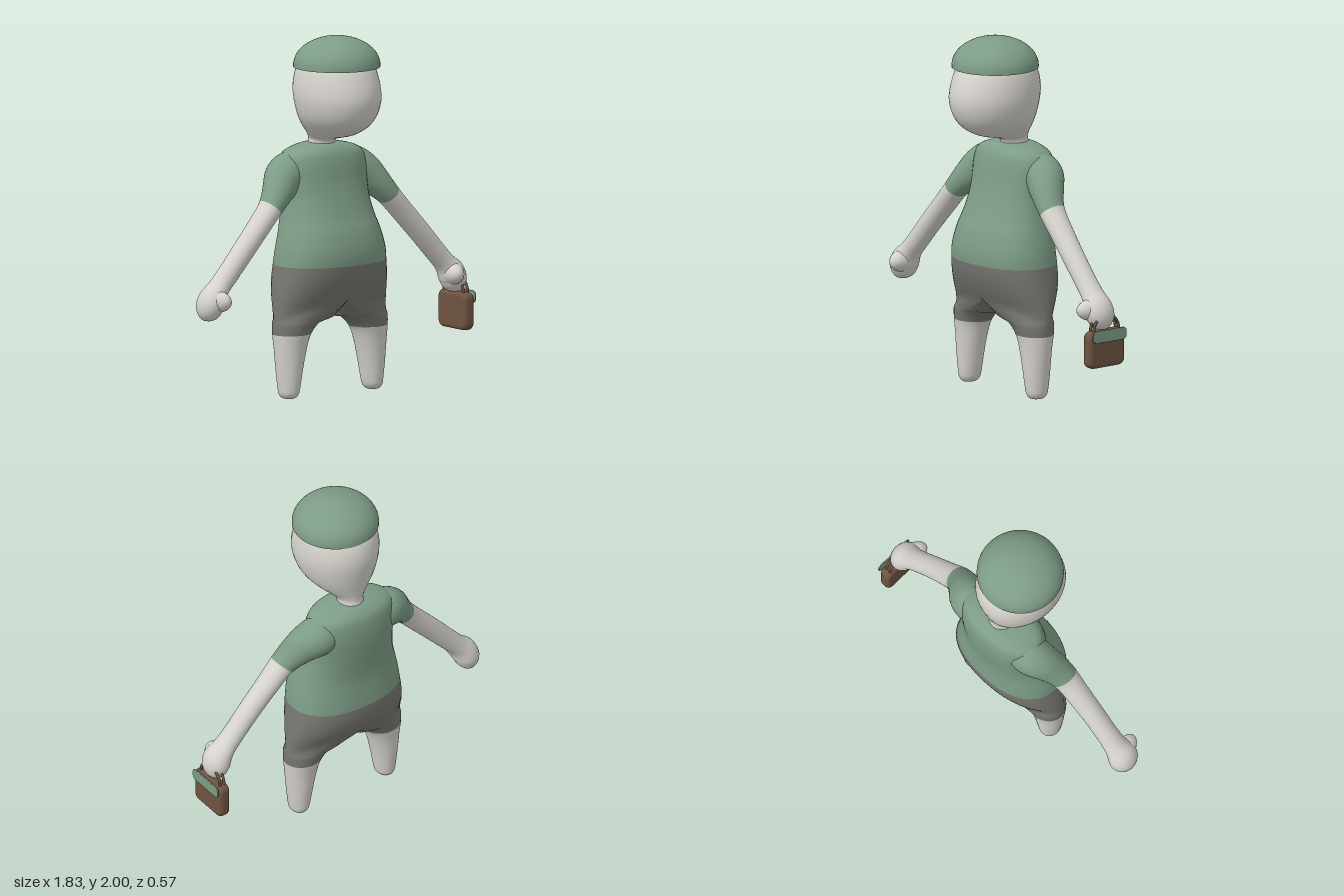
import * as THREE from 'three';
import { mergeVertices } from 'three/addons/utils/BufferGeometryUtils.js';

const SEG = 40;
const material = (name, color) => {
  const m = new THREE.MeshStandardMaterial({ color });
  m.name = name;
  return m;
};

// Subdivide rows of numbers with a Catmull-Rom spline, keeping the given rows
function refine(rows, k) {
  const out = [];
  for (let i = 0; i < rows.length - 1; i++) {
    const [a, b, c, d] = [rows[Math.max(i - 1, 0)], rows[i], rows[i + 1], rows[Math.min(i + 2, rows.length - 1)]];
    for (let s = 0; s < k; s++) {
      const t = s / k;
      out.push(b.map((v, n) => v + 0.5 * t * (c[n] - a[n] + t * (2 * a[n] - 5 * v + 4 * c[n] - d[n] + t * (3 * (v - c[n]) + d[n] - a[n])))));
    }
  }
  out.push(rows[rows.length - 1]);
  return out;
}

// Skin rings of points, top to bottom; bands are the last ring of each colour; sides mirror in x
function loft(rings, bands, sides = [1]) {
  const pos = [], index = [], groups = [];
  const n = rings[0].length;
  for (const s of sides) for (const ring of rings) for (const p of ring) pos.push(p[0] * s, p[1], p[2]);
  const tri = (a, b, c) => {
    if ([a, b, c].every((i) => Math.abs(pos[i * 3]) < 1e-4)) return; // inner wall on the centre plane
    index.push(a, b, c);
  };
  let from = 0;
  bands.forEach((to, g) => {
    const start = index.length;
    sides.forEach((s, k) => {
      const base = k * rings.length * n;
      for (let i = from; i < to; i++) for (let j = 0; j < n; j++) {
        const a = base + i * n + j, b = base + i * n + (j + 1) % n, c = a + n, d = b + n;
        if (s > 0) { tri(a, b, c); tri(b, d, c); } else { tri(a, c, b); tri(b, c, d); }
      }
    });
    groups.push([start, index.length - start, g]);
    from = to;
  });
  let geo = new THREE.BufferGeometry();
  geo.setAttribute('position', new THREE.Float32BufferAttribute(pos, 3));
  geo.setIndex(index);
  geo = mergeVertices(geo, 1e-4);
  geo.clearGroups();
  groups.forEach((g) => geo.addGroup(...g));
  geo.computeVertexNormals();
  return geo;
}

const ringOf = (f) => Array.from({ length: SEG }, (_, j) => f((j / SEG) * Math.PI * 2));
const soft = (v) => Math.sign(v) * Math.pow(Math.abs(v), 0.88);

// Rows: y, inner x, outer x, front z, back z. Half torso blends into a round leg.
function bodyGeometry() {
  const rows = [
    [1.395, 0, 0.07, -0.05, -0.2], [1.388, 0, 0.12, -0.02, -0.225], [1.373, 0, 0.19, 0.0, -0.245],
    [1.34, 0, 0.25, 0.025, -0.27], [1.27, 0, 0.27, 0.045, -0.283], [1.19, 0, 0.268, 0.06, -0.285],
    [1.1, 0, 0.265, 0.085, -0.28], [1.0, 0, 0.28, 0.12, -0.27], [0.92, 0, 0.302, 0.155, -0.267],
    [0.82, 0, 0.327, 0.18, -0.274], [0.74, 0, 0.338, 0.18, -0.28], [0.66, 0, 0.351, 0.165, -0.275],
    [0.58, 0, 0.362, 0.135, -0.25], [0.51, 0, 0.37, 0.1, -0.21], [0.445, 0, 0.376, 0.075, -0.175],
    [0.42, 0.09, 0.377, 0.066, -0.162], [0.36, 0.152, 0.377, 0.053, -0.147], [0.28, 0.182, 0.37, 0.042, -0.132],
    [0.17, 0.208, 0.36, 0.034, -0.122], [0.06, 0.228, 0.348, 0.024, -0.11], [0.025, 0.238, 0.341, 0.016, -0.102],
    [0.005, 0.258, 0.322, -0.004, -0.082], [0, 0.29, 0.29, -0.043, -0.043],
  ];
  const rings = refine(rows, 3).map(([y, xi, xo, zf, zb]) => {
    const xin = y >= 0.445 ? 0 : Math.max(0, xi), cx = (xin + xo) / 2, rx = (xo - xin) / 2;
    const cz = (zf + zb) / 2, rz = (zf - zb) / 2;
    return ringOf((t) => {
      const c = Math.cos(t) > 1e-6 ? xo * soft(Math.cos(t)) : 0;
      // The crotch arches higher towards the front and back
      const s = 1 - THREE.MathUtils.smoothstep(y, 0.422, 0.446 + 0.1 * Math.sin(t) ** 2);
      const z = 1 - THREE.MathUtils.smoothstep(y, 0.422, 0.6);
      return [THREE.MathUtils.lerp(c, cx + rx * Math.cos(t), s), Math.max(0, y),
        cz + rz * THREE.MathUtils.lerp(soft(Math.sin(t)), Math.sin(t), z)];
    });
  });
  return loft(rings, [30, 48, 66], [1, -1]);
}

function headGeometry() {
  // y, half width, front z, back z
  const rows = [
    [1.94, 0, 0.01, 0.01], [1.9, 0.16, 0.16, -0.15], [1.84, 0.205, 0.225, -0.213], [1.78, 0.222, 0.257, -0.24],
    [1.71, 0.23, 0.28, -0.25], [1.64, 0.226, 0.285, -0.243], [1.56, 0.203, 0.26, -0.227], [1.5, 0.165, 0.21, -0.212],
    [1.455, 0.116, 0.125, -0.203], [1.43, 0.085, 0.02, -0.2], [1.41, 0.072, -0.04, -0.2], [1.36, 0.078, -0.04, -0.21],
  ];
  const rings = refine(rows, 3).map(([y, rx, zf, zb]) =>
    ringOf((t) => [rx * Math.cos(t), y, (zf + zb) / 2 + ((zf - zb) / 2) * Math.sin(t)]));
  return loft(rings, [rings.length - 1]);
}

function armGeometry(side) {
  // Centre x, y, z, then radius across the arm and radius in z
  const rows = refine([
    [0.12, 1.27, -0.135, 0.07, 0.08], [0.2, 1.25, -0.138, 0.11, 0.112], [0.275, 1.207, -0.121, 0.108, 0.113],
    [0.34, 1.145, -0.085, 0.085, 0.096], [0.409, 1.071, -0.054, 0.064, 0.077], [0.5, 0.97, -0.046, 0.061, 0.068],
    [0.615, 0.845, -0.04, 0.06, 0.063], [0.72, 0.728, -0.038, 0.058, 0.062], [0.785, 0.658, -0.037, 0.058, 0.068],
    [0.822, 0.612, -0.033, 0.072, 0.083], [0.842, 0.565, -0.034, 0.073, 0.085], [0.842, 0.522, -0.036, 0.06, 0.067],
    [0.838, 0.497, -0.038, 0.036, 0.042], [0.836, 0.488, -0.038, 0, 0],
  ], 3);
  const rings = rows.map(([x, y, z, ru, rz], i) => {
    const a = rows[Math.max(i - 1, 0)], b = rows[Math.min(i + 1, rows.length - 1)];
    const l = Math.hypot(b[0] - a[0], b[1] - a[1]);
    const ux = -(b[1] - a[1]) / l, uy = (b[0] - a[0]) / l;
    return ringOf((t) => [x + ux * ru * Math.cos(t), y + uy * ru * Math.cos(t), z + rz * Math.sin(t)]);
  });
  return loft(rings, [12, rings.length - 1], [side]);
}

// Rounded rectangle facing x, with bevelled rims
function roundedPanel(width, height, thick, radius, bevel) {
  const w = width / 2 - bevel, h = height / 2 - bevel, r = radius - bevel;
  const shape = new THREE.Shape();
  shape.absarc(w - r, h - r, r, 0, Math.PI / 2);
  shape.absarc(r - w, h - r, r, Math.PI / 2, Math.PI);
  shape.absarc(r - w, r - h, r, Math.PI, Math.PI * 1.5);
  shape.absarc(w - r, r - h, r, Math.PI * 1.5, Math.PI * 2);
  const geo = new THREE.ExtrudeGeometry(shape, {
    depth: thick - 2 * bevel, bevelThickness: bevel, bevelSize: bevel, bevelSegments: 4, curveSegments: 6,
  });
  return geo.center().rotateY(Math.PI / 2);
}

export function createModel() {
  const model = new THREE.Group();
  const skin = material('pale skin', 0xd6d3cd);
  const green = material('sage green cloth', 0x7d9c86);
  const grey = material('grey shorts cloth', 0x767672);
  const brown = material('brown leather', 0x6f5341);
  const add = (name, geo, mat, parent = model) => {
    const mesh = new THREE.Mesh(geo, mat);
    mesh.name = name;
    parent.add(mesh);
    return mesh;
  };

  add('body', bodyGeometry(), [green, grey, skin]);
  add('head', headGeometry(), skin);

  // Arms with a short sleeve, and a thumb side swelling forward
  for (const side of [1, -1]) {
    const label = side > 0 ? 'left' : 'right';
    add(label + 'Arm', armGeometry(side), [green, skin]);
    const thumb = add(label + 'Thumb', new THREE.SphereGeometry(1, 24, 18), skin);
    thumb.scale.set(0.056, 0.062, 0.1);
    thumb.position.set(side * 0.818, 0.598, -0.006);
    thumb.rotation.y = -side * 0.22;
  }

  // Domed cap with a flat underside
  const dome = [new THREE.Vector2(0, 0), new THREE.Vector2(0.24, 0), new THREE.Vector2(0.24, 0)];
  for (let i = 0; i <= 16; i++) {
    const a = (i / 16) * Math.PI / 2;
    dome.push(new THREE.Vector2(i === 16 ? 0 : 0.24 * Math.cos(a), 0.01 + 0.16 * Math.sin(a)));
  }
  const cap = add('cap', new THREE.LatheGeometry(dome, 48), green);
  cap.position.set(0, 1.83, 0.015);

  // Handbag hanging from the left hand
  const bag = new THREE.Group();
  bag.name = 'handbag';
  bag.position.set(0.87, 0, -0.04);
  model.add(bag);
  add('bagBody', roundedPanel(0.256, 0.21, 0.068, 0.042, 0.022), brown, bag).position.y = 0.387;
  const flap = add('bagFlap', roundedPanel(0.238, 0.07, 0.009, 0.026, 0.003), green, bag);
  flap.position.set(0.046, 0.464, -0.003);
  for (const x of [-0.014, 0.014]) {
    const path = new THREE.CatmullRomCurve3([
      [0.085, 0.475], [0.08, 0.52], [0.045, 0.56], [0, 0.575], [-0.045, 0.565], [-0.085, 0.525], [-0.095, 0.475],
    ].map(([z, y]) => new THREE.Vector3(x, y, z)));
    add('bagHandle', new THREE.TubeGeometry(path, 28, 0.008, 8), brown, bag);
  }
  return model;
}
